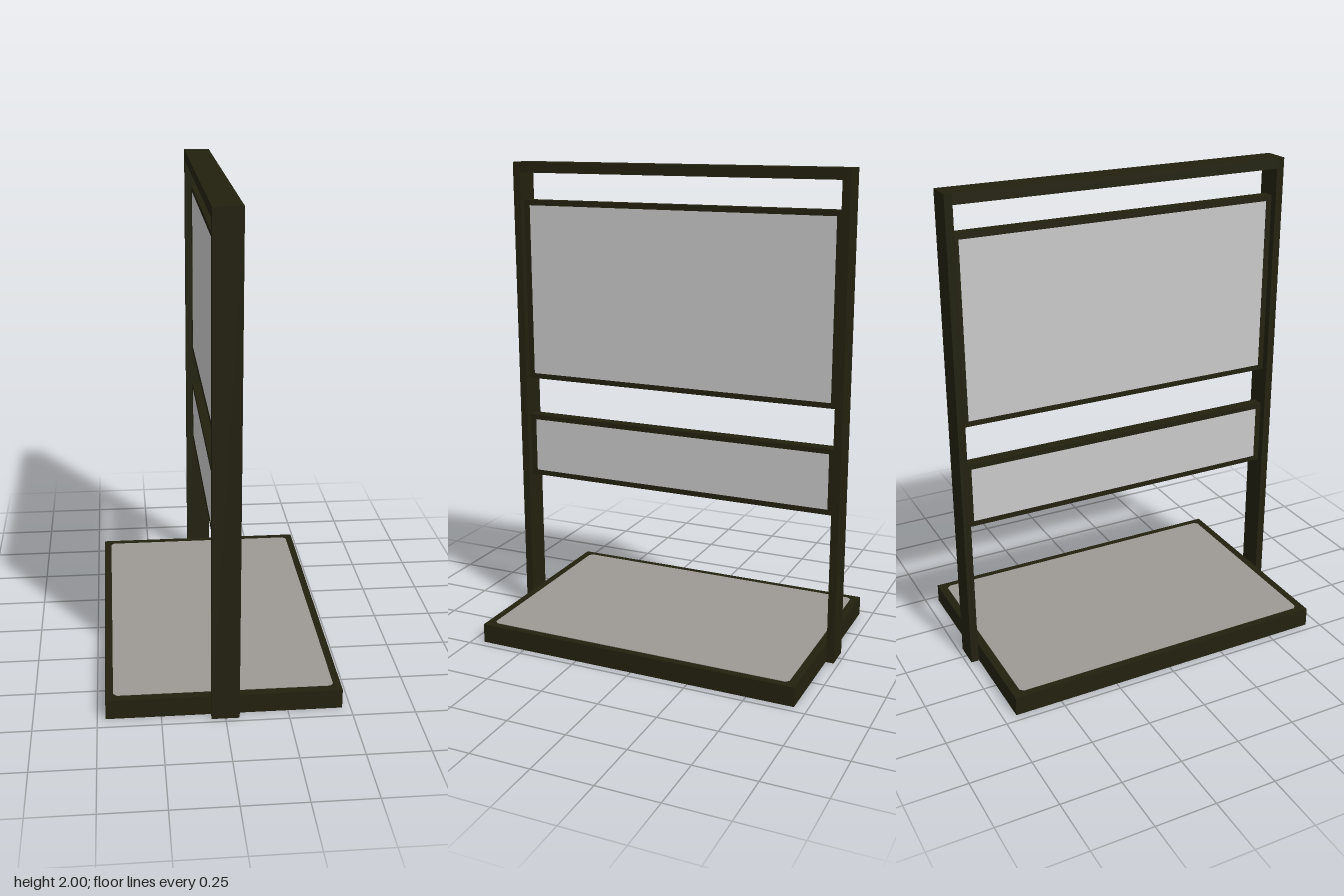
import * as THREE from 'three';

const frameMat = new THREE.MeshStandardMaterial({ color: 0x22210f });
frameMat.name = 'dark frame';
const panelMat = new THREE.MeshStandardMaterial({ color: 0xc9c9c9 });
panelMat.name = 'light grey panel';
const deckMat = new THREE.MeshStandardMaterial({ color: 0x9d9994 });
deckMat.name = 'warm grey deck';

// Box given by its centre and size
function box(parent, name, mat, size, pos) {
  const mesh = new THREE.Mesh(new THREE.BoxGeometry(...size), mat);
  mesh.position.set(...pos);
  mesh.name = name;
  parent.add(mesh);
}

// Framed board hanging between the posts, facing both sides
function framedBoard(name, y0, y1) {
  const g = new THREE.Group();
  g.name = name;
  const half = 0.7, rim = 0.022, depth = 0.05;
  const mid = (y0 + y1) / 2, h = y1 - y0;
  box(g, 'topRail', frameMat, [depth, rim, half * 2], [0, y1 - rim / 2, 0]);
  box(g, 'bottomRail', frameMat, [depth, rim, half * 2], [0, y0 + rim / 2, 0]);
  for (const s of [1, -1]) {
    box(g, 'sideRail', frameMat, [depth, h - rim * 2, 0.027], [0, mid, s * (half - 0.0135)]);
  }
  box(g, 'panel', panelMat, [depth - 0.002, h - rim * 2, half * 2 - 0.054], [0, mid, 0]);
  return g;
}

export function createModel() {
  const model = new THREE.Group();
  model.name = 'displayStand';

  // Base slab
  box(model, 'base', frameMat, [0.934, 0.081, 1.392], [0, 0.0405, 0]);

  // Deck plate with clipped corners
  const w = 0.436, d = 0.662, c = 0.014;
  const outline = new THREE.Shape([
    [-w + c, -d], [w - c, -d], [w, -d + c], [w, d - c],
    [w - c, d], [-w + c, d], [-w, d - c], [-w, -d + c],
  ].map(([x, y]) => new THREE.Vector2(x, y)));
  const deck = new THREE.Mesh(
    new THREE.ExtrudeGeometry(outline, { depth: 0.003, bevelEnabled: false }), deckMat);
  deck.rotation.x = -Math.PI / 2;
  deck.position.y = 0.08;
  deck.name = 'deck';
  model.add(deck);

  // Upright portal frame
  for (const s of [1, -1]) {
    box(model, 'post', frameMat, [0.11, 2, 0.032], [0, 1, s * 0.714]);
  }
  box(model, 'topBeam', frameMat, [0.11, 0.043, 1.398], [0, 1.9785, 0]);

  // Boards
  model.add(framedBoard('upperBoard', 1.07, 1.842));
  model.add(framedBoard('lowerBoard', 0.628, 0.905));

  return model;
}
